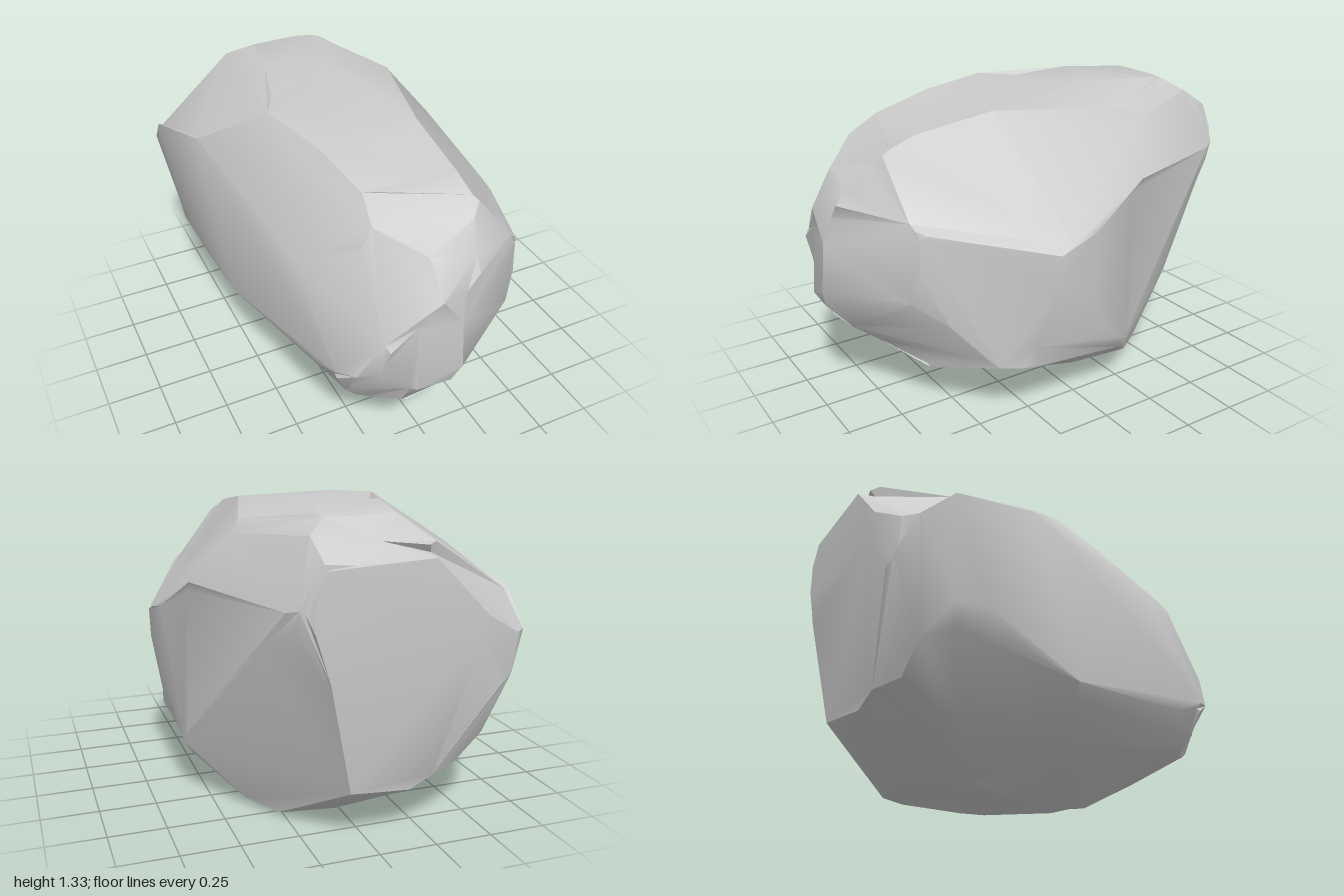
import * as THREE from 'three';
import { ConvexGeometry } from 'three/addons/geometries/ConvexGeometry.js';
import { mergeVertices, toCreasedNormals } from 'three/addons/utils/BufferGeometryUtils.js';

const vec = (x, y, z) => new THREE.Vector3(x, y, z);

// Turns an outline, as x,y pairs in a plane turned by azimuth and elevation, into cutting planes.
function outlinePlanes(azimuth, elevation, flat) {
  const a = THREE.MathUtils.degToRad(azimuth), e = THREE.MathUtils.degToRad(elevation);
  const u = vec(Math.cos(a), 0, -Math.sin(a));
  const v = vec(-Math.sin(a) * Math.sin(e), Math.cos(e), -Math.cos(a) * Math.sin(e));
  const planes = [];
  for (let i = 0; i < flat.length; i += 2) {
    const x = flat[i], y = flat[i + 1];
    const dx = flat[(i + 2) % flat.length] - x, dy = flat[(i + 3) % flat.length] - y;
    // outlines run clockwise, so the outside lies to the left of each edge
    const normal = u.clone().multiplyScalar(-dy).addScaledVector(v, dx).normalize();
    planes.push({ normal, offset: (-dy * x + dx * y) / Math.hypot(dx, dy) });
  }
  return planes;
}

function planeThrough(normal, point) {
  normal.normalize();
  return { normal, offset: normal.dot(point) };
}

// Corners of the solid enclosed by the planes: points where three planes meet inside all others.
function solidCorners(planes) {
  const corners = [], bc = vec(), ca = vec(), ab = vec(), p = vec();
  for (let i = 0; i < planes.length; i++) {
    for (let j = i + 1; j < planes.length; j++) {
      const A = planes[i], B = planes[j];
      ab.crossVectors(A.normal, B.normal);
      for (let k = j + 1; k < planes.length; k++) {
        const C = planes[k], det = ab.dot(C.normal);
        if (Math.abs(det) < 1e-4) continue;
        bc.crossVectors(B.normal, C.normal);
        ca.crossVectors(C.normal, A.normal);
        p.set(0, 0, 0).addScaledVector(bc, A.offset).addScaledVector(ca, B.offset)
          .addScaledVector(ab, C.offset).divideScalar(det);
        if (planes.some((q) => q.normal.dot(p) > q.offset + 1e-5)) continue;
        if (corners.some((q) => q.distanceTo(p) < 0.012)) continue;
        corners.push(p.clone());
      }
    }
  }
  return corners;
}

function seeded(seed) {
  return () => {
    seed = (seed * 16807) % 2147483647;
    return seed / 2147483647;
  };
}

// Outlines of the stone about its middle
const front = [-0.67, 0.32, -0.55, 0.52, -0.49, 0.61, -0.36, 0.66, 0.07, 0.67, 0.47, 0.57, 0.51, 0.52,
  0.67, 0.12, 0.67, -0.02, 0.63, -0.33, 0.58, -0.51, 0.4, -0.64, 0.07, -0.68, -0.21, -0.65,
  -0.31, -0.58, -0.61, -0.23, -0.64, -0.13];
const side = [-1, -0.08, -0.99, 0.12, -0.97, 0.25, -0.9, 0.37, -0.77, 0.52, -0.6, 0.57, -0.3, 0.63,
  0.33, 0.67, 0.8, 0.64, 0.98, 0.5, 1, 0.17, 0.9, -0.48, 0.62, -0.65, 0.43, -0.68,
  -0.25, -0.64, -0.5, -0.59, -0.88, -0.31, -0.97, -0.18];
const top = [-0.67, 0.9, -0.6, 0.95, -0.42, 1, 0.27, 0.98, 0.33, 0.96, 0.6, 0.25, 0.65, 0,
  0.67, -0.2, 0.44, -0.73, 0.04, -0.99, -0.15, -0.97, -0.3, -0.93, -0.36, -0.88, -0.42, -0.78, -0.67, 0.75];
const frontCorner = [-0.21, 0.78, 0.25, 0.89, 0.49, 0.83, 0.74, 0.73, 0.81, 0.55, 0.64, -0.49,
  0.35, -0.63, -0.2, -0.72, -0.65, -0.54, -0.79, -0.31, -0.65, 0.19];
const backCorner = [-0.81, 0.05, -0.55, 0.51, 0.13, 0.79, 0.24, 0.79, 0.65, 0.61, 0.75, 0.34, 0.79, 0.1,
  0.78, 0, 0.71, -0.11, 0.38, -0.46, 0.07, -0.7, -0.05, -0.75, -0.37, -0.79, -0.62, -0.68];
const underCorner = [-0.79, 0.01, -0.77, 0.09, -0.62, 0.24, -0.15, 0.73, 0.36, 0.9, 0.73, 0.75, 1.06, 0.31,
  0.91, -0.11, 0.63, -0.35, 0.24, -0.55, -0.26, -0.68, -0.57, -0.58, -0.75, -0.33];

function stoneGeometry() {
  const planes = [
    ...outlinePlanes(0, 0, front), ...outlinePlanes(90, 0, side), ...outlinePlanes(0, 90, top),
    ...outlinePlanes(35, 25, frontCorner), ...outlinePlanes(215, 25, backCorner),
    ...outlinePlanes(145, -25, underCorner),
    // large facets low at the back left and high at the back right
    planeThrough(vec(0.434, -0.155, -0.315), vec(0.08, -0.48, -0.9)),
    planeThrough(vec(-0.224, 0.371, -0.07), vec(-0.67, 0.3, -0.9)),
  ];

  // Blunt the remaining pointed corners
  const rough = solidCorners(planes);
  for (const [x, y, z] of [[0.52, 0.42, 0.74], [-0.52, 0.42, 0.74], [0.52, -0.42, 0.74], [-0.52, -0.42, -0.74]]) {
    const normal = vec(x, y, z).normalize();
    planes.push({ normal, offset: 0.94 * Math.max(...rough.map((p) => normal.dot(p))) });
  }

  const hull = new ConvexGeometry(solidCorners(planes));
  hull.deleteAttribute('normal');
  const geometry = mergeVertices(hull, 1e-4);

  // Sink some corners a little for a chipped, uneven surface
  const random = seeded(71);
  const position = geometry.attributes.position, p = vec();
  for (let i = 0; i < position.count; i++) {
    p.fromBufferAttribute(position, i).multiplyScalar(1 - 0.04 * random() ** 3);
    position.setXYZ(i, p.x, p.y, p.z);
  }

  // Stand on the ground
  geometry.computeBoundingBox();
  geometry.translate(0, -geometry.boundingBox.min.y, 0);
  return toCreasedNormals(geometry, 0.6);
}

export function createModel() {
  const model = new THREE.Group();
  model.name = 'rock';
  const stone = new THREE.Mesh(stoneGeometry(), new THREE.MeshStandardMaterial({ color: 0xcccccc }));
  stone.name = 'stone';
  model.add(stone);
  return model;
}
